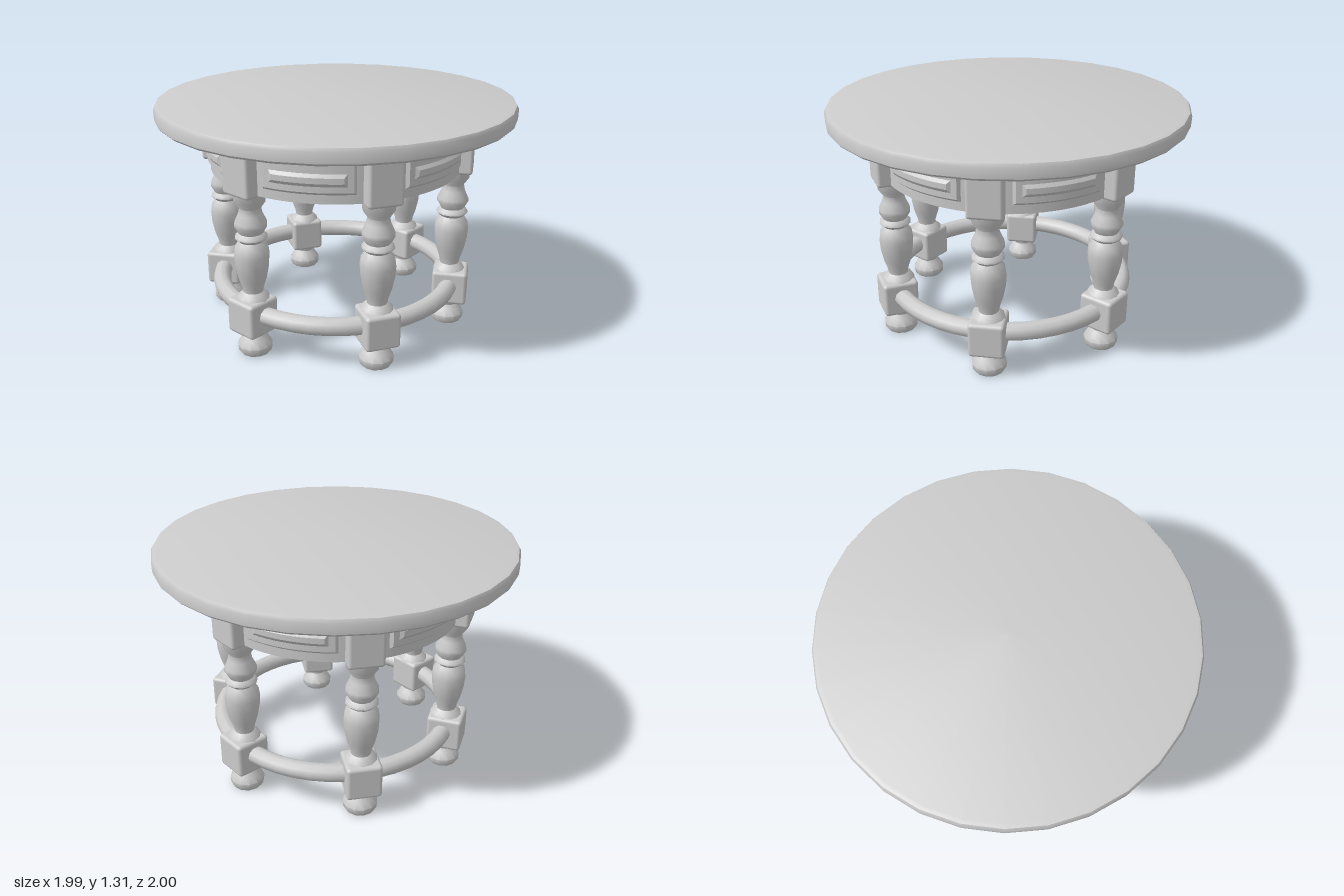
import * as THREE from 'three';
import { toCreasedNormals } from 'three/addons/utils/BufferGeometryUtils.js';
import { RoundedBoxGeometry } from 'three/addons/geometries/RoundedBoxGeometry.js';

const LEGS = 6;
const LEG_RADIUS = 0.675;
const STEP = (Math.PI * 2) / LEGS;

const material = new THREE.MeshStandardMaterial({ color: 0xcccccc });

function add(parent, name, geometry, x = 0, y = 0, z = 0) {
  const mesh = new THREE.Mesh(geometry, material);
  mesh.name = name;
  mesh.position.set(x, y, z);
  parent.add(mesh);
  return mesh;
}

function lathe(points, segments, crease) {
  const geometry = new THREE.LatheGeometry(points.map(([r, y]) => new THREE.Vector2(r, y)), segments);
  return toCreasedNormals(geometry, crease);
}

// A box bent around the y axis, facing +z; its outer face can shrink to form a bevel
function curvedPanel(angle, height, inner, outer, bevel = 0) {
  const geometry = new THREE.BoxGeometry(angle, height, 1, 10, 1, 1);
  const p = geometry.attributes.position;
  for (let i = 0; i < p.count; i++) {
    const front = p.getZ(i) > 0;
    const r = front ? outer : inner;
    const a = p.getX(i) * (front ? 1 - (2 * bevel) / (angle * outer) : 1);
    const y = p.getY(i) * (front ? 1 - (2 * bevel) / height : 1);
    p.setXYZ(i, Math.sin(a) * r, y, Math.cos(a) * r);
  }
  return toCreasedNormals(geometry, 0.4);
}

export function createModel() {
  const table = new THREE.Group();
  table.name = 'roundTable';

  // Round top with a slightly softened rim
  add(table, 'tableTop', lathe([
    [0, 1.232], [0.985, 1.232], [0.998, 1.245], [1, 1.30], [0.99, 1.318], [0.97, 1.323], [0, 1.323],
  ], 30, 0.6));

  // Ring stretcher joining the lower leg blocks
  const ring = new THREE.TorusGeometry(0.682, 0.051, 10, 48);
  ring.rotateX(Math.PI / 2);
  add(table, 'ringStretcher', ring, 0, 0.25, 0);

  // Turned profiles, bottom to top
  const foot = lathe([
    [0, 0.008], [0.083, 0.008], [0.094, 0.025], [0.097, 0.055], [0.075, 0.09],
    [0.058, 0.115], [0.066, 0.15],
  ], 12, 0.7);
  const shaft = lathe([
    [0.092, 0.33], [0.085, 0.35], [0.055, 0.375], [0.06, 0.405], [0.078, 0.46], [0.092, 0.53],
    [0.096, 0.59], [0.09, 0.635], [0.066, 0.668], [0.088, 0.688], [0.086, 0.70], [0.066, 0.715],
    [0.088, 0.755], [0.087, 0.775], [0.066, 0.82], [0.058, 0.855], [0.085, 0.895], [0.09, 0.945],
  ], 12, 0.9);
  const lowerBlock = new RoundedBoxGeometry(0.195, 0.2, 0.2, 2, 0.02);
  const upperBlock = new RoundedBoxGeometry(0.19, 0.31, 0.19, 2, 0.018);
  const apron = curvedPanel(STEP, 0.29, 0.635, 0.712);
  const raisedPanel = curvedPanel(STEP * 0.68, 0.2, 0.70, 0.728, 0.025);
  const panelRidge = curvedPanel(STEP * 0.56, 0.09, 0.72, 0.74, 0.03);

  for (let i = 0; i < LEGS; i++) {
    // Leg: foot, stretcher block, turned shaft and apron block
    const leg = new THREE.Group();
    leg.name = `leg${i + 1}`;
    leg.rotation.y = i * STEP;
    add(leg, 'foot', foot, 0, 0, LEG_RADIUS);
    add(leg, 'lowerBlock', lowerBlock, 0, 0.24, LEG_RADIUS + 0.01);
    add(leg, 'turnedShaft', shaft, 0, 0, LEG_RADIUS);
    add(leg, 'upperBlock', upperBlock, 0, 1.09, LEG_RADIUS + 0.008);
    table.add(leg);

    // Curved apron between neighbouring legs with a raised panel
    const bay = new THREE.Group();
    bay.name = `apronBay${i + 1}`;
    bay.rotation.y = (i + 0.5) * STEP;
    add(bay, 'apron', apron, 0, 1.092, 0);
    add(bay, 'raisedPanel', raisedPanel, 0, 1.085, 0);
    add(bay, 'panelRidge', panelRidge, 0, 1.075, 0);
    table.add(bay);
  }

  return table;
}
